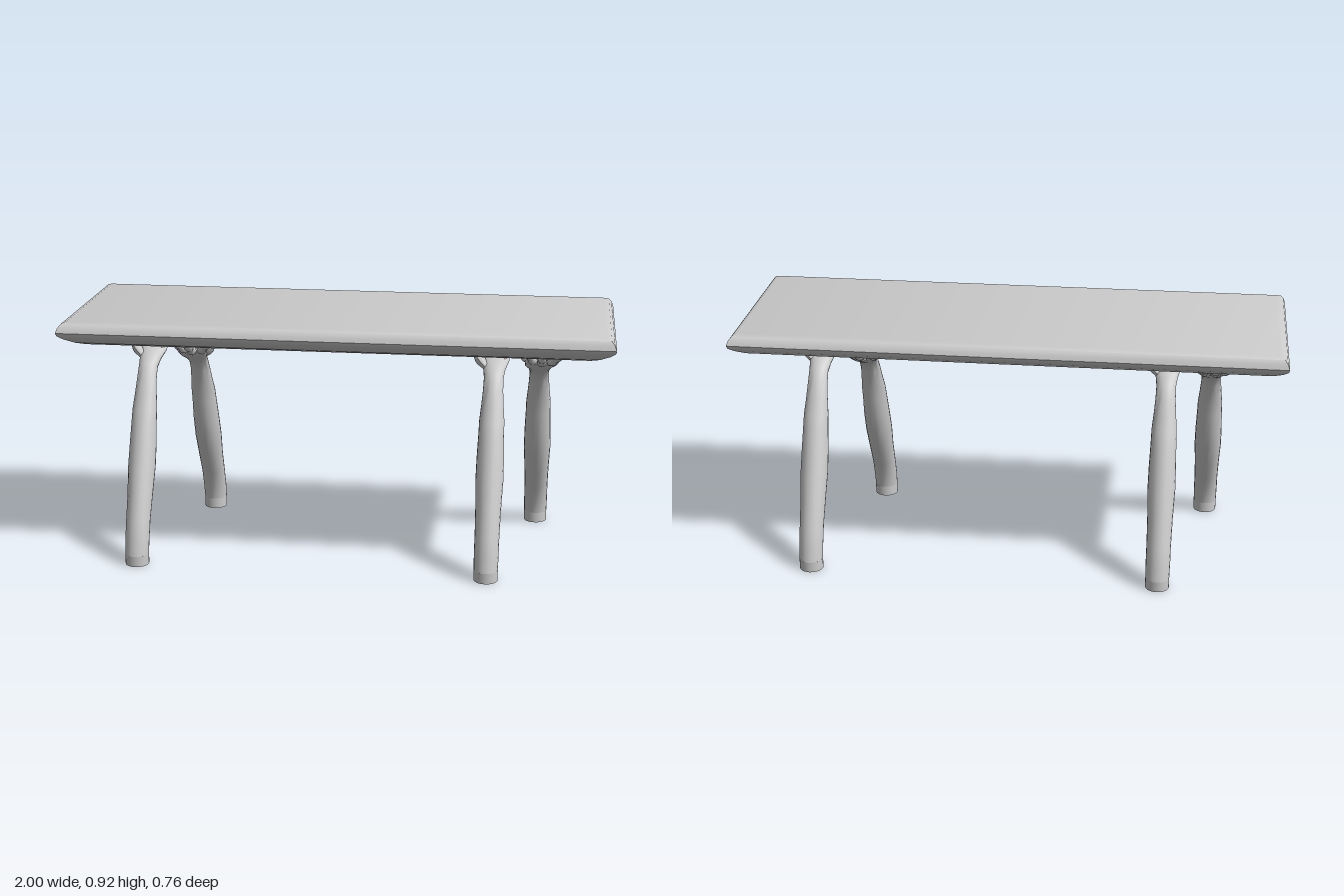
import * as THREE from 'three';
import { toCreasedNormals } from 'three/addons/utils/BufferGeometryUtils.js';

const material = new THREE.MeshStandardMaterial({ color: 0xcccccc });

function addMesh(parent, geometry, name) {
  const mesh = new THREE.Mesh(geometry, material);
  mesh.name = name;
  parent.add(mesh);
  return mesh;
}

// Skin a list of rings (arrays of Vector3, counter-clockwise seen from the end) and cap both ends
function loft(rings) {
  const n = rings[0].length;
  const positions = rings.flat().flatMap((p) => [p.x, p.y, p.z]);
  const index = [];
  for (let r = 0; r < rings.length - 1; r++) {
    for (let i = 0; i < n; i++) {
      const a = r * n + i, b = r * n + (i + 1) % n;
      index.push(a, b, b + n, a, b + n, a + n);
    }
  }
  const last = (rings.length - 1) * n;
  for (let i = 1; i < n - 1; i++) {
    index.push(0, i + 1, i, last, last + i, last + i + 1);
  }
  const geometry = new THREE.BufferGeometry();
  geometry.setAttribute('position', new THREE.Float32BufferAttribute(positions, 3));
  geometry.setIndex(index);
  return geometry;
}

// Table top: rectangles with a rounded edge profile of [inset, y]
function topGeometry() {
  const profile = [[0.088, 0.823], [0.055, 0.836], [0.022, 0.856], [0.004, 0.871],
    [0, 0.882], [0.007, 0.9], [0.018, 0.913], [0.035, 0.92]];
  const rings = profile.map(([inset, y]) => {
    const x = 1 - inset, z = 0.35 - inset;
    return [[x, z], [x, -z], [-x, -z], [-x, z]].map(([px, pz]) => new THREE.Vector3(px, y, pz + 0.0125));
  });
  return toCreasedNormals(loft(rings), 0.6);
}

// Forearm, wrist and palm: sections of [y, z, half width, half depth, tilt]
function armGeometry() {
  const sections = [
    [0.04, 0.335, 0.044, 0.044, 0],
    [0.09, 0.325, 0.045, 0.044, 0],
    [0.16, 0.3, 0.045, 0.048, 0],
    [0.25, 0.256, 0.047, 0.056, 0],
    [0.34, 0.219, 0.051, 0.06, 0],
    [0.42, 0.187, 0.05, 0.055, 0],
    [0.5, 0.161, 0.047, 0.049, 0],
    [0.55, 0.142, 0.046, 0.041, 0],
    [0.6, 0.119, 0.041, 0.034, 0.1],
    [0.65, 0.096, 0.037, 0.03, 0.35],
    [0.69, 0.066, 0.036, 0.027, 0.8],
    [0.713, 0.03, 0.041, 0.024, 1.1],
    [0.735, -0.02, 0.053, 0.021, 1.15],
    [0.754, -0.06, 0.052, 0.017, 1.15],
    [0.761, -0.076, 0.036, 0.009, 1.15],
  ];
  const sides = 20;
  const rings = sections.map(([y, z, rx, rd, tilt]) => Array.from({ length: sides }, (_, i) => {
    const t = i / sides * Math.PI * 2;
    const d = Math.cos(t) * rd;
    return new THREE.Vector3(Math.sin(t) * rx, y + d * Math.sin(tilt), z + d * Math.cos(tilt));
  }));
  return toCreasedNormals(loft(rings), 0.9);
}

// Finger: a tube swelling at its knuckles and closing in a round tip
function fingerGeometry(points, radius) {
  const curve = new THREE.CatmullRomCurve3(points.map((p) => new THREE.Vector3(...p)));
  const steps = 22, sides = 10;
  const geometry = new THREE.TubeGeometry(curve, steps, radius, sides);
  const position = geometry.attributes.position;
  const v = new THREE.Vector3();
  for (let i = 0; i < position.count; i++) {
    const t = Math.floor(i / (sides + 1)) / steps;
    const centre = curve.getPointAt(t);
    const knuckles = 0.98 + 0.16 * Math.cos(t * Math.PI * 5);
    const tip = t > 0.84 ? Math.sqrt(Math.max(0, 1 - ((t - 0.84) / 0.16) ** 2)) : 1;
    v.fromBufferAttribute(position, i).sub(centre).multiplyScalar(knuckles * tip).add(centre);
    position.setXYZ(i, v.x, v.y, v.z);
  }
  geometry.computeVertexNormals();
  return geometry;
}

const fingers = {
  thumb: [[[-0.012, 0.705, 0.035], [-0.045, 0.733, 0.015], [-0.072, 0.77, -0.005], [-0.094, 0.82, -0.02]], 0.0165],
  indexFinger: [[[-0.025, 0.742, -0.03], [-0.045, 0.762, -0.075], [-0.065, 0.785, -0.115], [-0.08, 0.82, -0.145]], 0.0155],
  middleFinger: [[[-0.008, 0.742, -0.03], [-0.01, 0.762, -0.09], [-0.012, 0.784, -0.14], [-0.012, 0.817, -0.182]], 0.016],
  ringFinger: [[[0.01, 0.742, -0.03], [0.024, 0.765, -0.075], [0.036, 0.788, -0.108], [0.044, 0.82, -0.137]], 0.0155],
  littleFinger: [[[0.025, 0.737, -0.015], [0.05, 0.763, -0.035], [0.068, 0.788, -0.05], [0.082, 0.82, -0.063]], 0.0145],
};

// Leg shaped as a raised arm, leaning from +z at the floor to -z at the fingertips
function createLeg(name) {
  const leg = new THREE.Group();
  leg.name = name;
  const cuff = addMesh(leg, new THREE.CylinderGeometry(0.044, 0.044, 0.04, 24), 'footCuff');
  cuff.position.set(0, 0.02, 0.335);
  addMesh(leg, armGeometry(), 'armAndPalm');
  for (const [fingerName, [points, radius]] of Object.entries(fingers)) {
    addMesh(leg, fingerGeometry(points, radius), fingerName);
  }
  return leg;
}

export function createModel() {
  const table = new THREE.Group();
  table.name = 'table';
  addMesh(table, topGeometry(), 'tableTop');

  // One crossing pair of legs near each end
  for (const [side, x] of [['Right', -0.652], ['Left', 0.648]]) {
    const front = createLeg('front' + side + 'Leg');
    front.position.x = x - 0.082;
    const back = createLeg('back' + side + 'Leg');
    back.position.x = x + 0.082;
    back.rotation.y = Math.PI;
    table.add(front, back);
  }
  return table;
}
